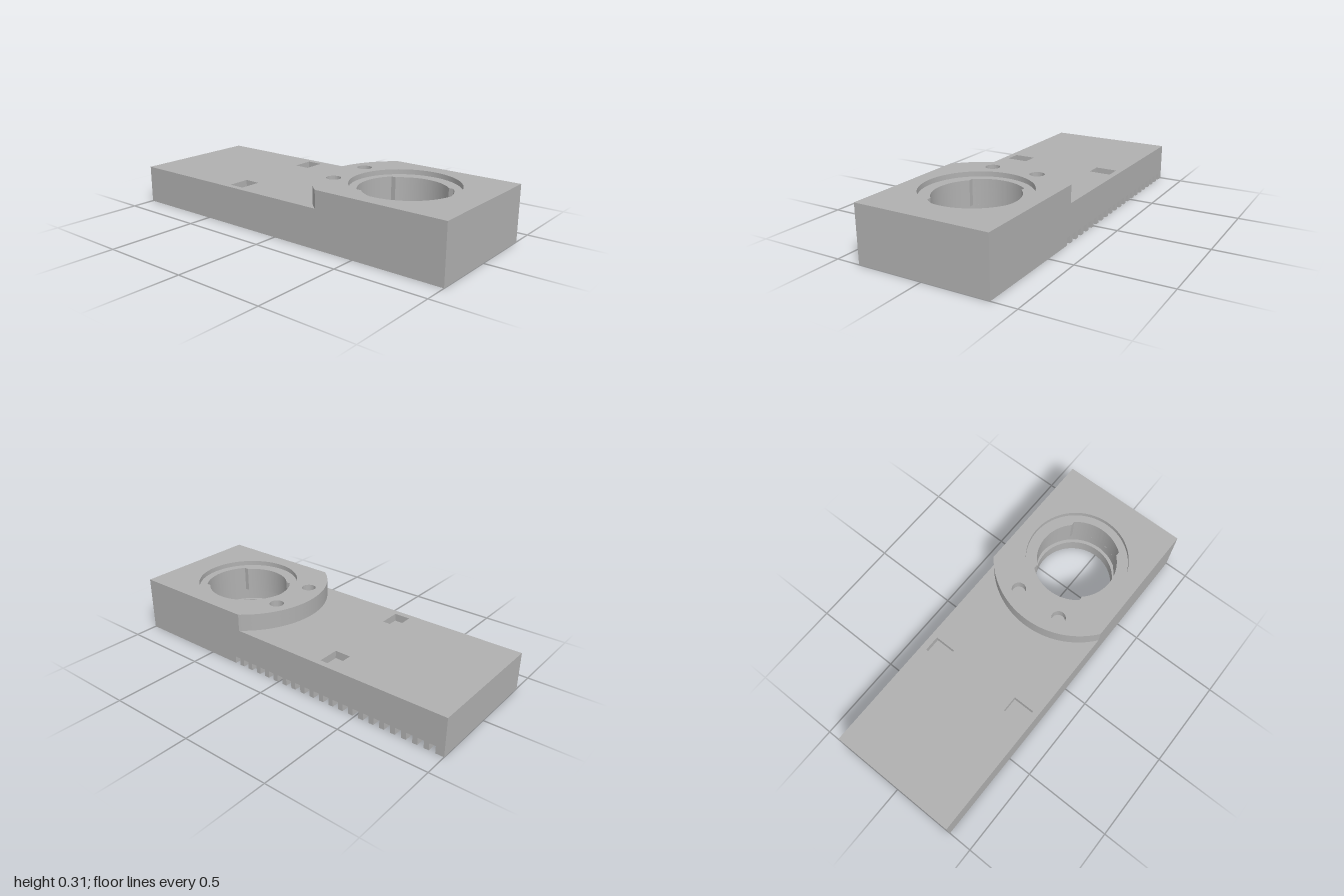
import * as THREE from 'three';
import { toCreasedNormals } from 'three/addons/utils/BufferGeometryUtils.js';

const W = 0.365, WALL = 0.063;          // half width, skirt thickness
const CEIL = 0.075, DECK = 0.212, TOP = 0.308;
const BZ = 0.555;                       // bore centre in z
const R_BORE = 0.222, R_SLOT = 0.241, R_RING = 0.284, R_PAD = 0.461;

export function createModel() {
  const model = new THREE.Group();
  model.name = 'slidePlate';
  const grey = new THREE.MeshStandardMaterial({ color: 0xb0b0b0 });
  grey.name = 'grey';

  const add = (name, geometry) => {
    const mesh = new THREE.Mesh(geometry, grey);
    mesh.name = name;
    model.add(mesh);
    return mesh;
  };
  const extrude = (shape, depth) => toCreasedNormals(
    new THREE.ExtrudeGeometry(shape, { depth, bevelEnabled: false, curveSegments: 40 }), 0.5);

  // Horizontal slab from a plan drawn in (x, z)
  const slab = (name, shape, y0, y1, holes = []) => {
    shape.holes.push(...holes);
    const g = extrude(shape, y1 - y0);
    g.rotateX(Math.PI / 2);
    g.translate(0, y1, 0);
    return add(name, g);
  };

  const rect = (P, x0, x1, z0, z1) => new P()
    .moveTo(x0, z0).lineTo(x1, z0).lineTo(x1, z1).lineTo(x0, z1).closePath();
  const circle = (P, x, z, r) => new P().absarc(x, z, r, 0, Math.PI * 2, false);
  const plate = () => rect(THREE.Shape, -W, W, -1, 1);

  // Bore with two wider bayonet slots, front and back
  const keyedBore = () => {
    const p = new THREE.Path();
    const a = Math.acos(0.155 / R_BORE), b = Math.acos(0.155 / R_SLOT);
    for (const t of [0, Math.PI]) {
      p.absarc(0, BZ, R_BORE, t - a, t + a, false);
      p.absarc(0, BZ, R_SLOT, t + b, t + Math.PI - b, false);
    }
    p.closePath();
    return p;
  };

  // Raised pad with a rounded rear edge
  const pad = () => {
    const s = new THREE.Shape();
    const a = Math.acos(W / R_PAD);
    s.moveTo(-W, 1);
    s.lineTo(W, 1);
    s.absarc(0, BZ, R_PAD, -a, -Math.PI + a, true);
    s.closePath();
    return s;
  };

  const pockets = () => [-1, 1].map(s =>
    rect(THREE.Path, s * 0.27 - 0.061, s * 0.27 + 0.061, -0.35, -0.26));
  const pinHoles = () => [-1, 1].map(s => circle(THREE.Path, s * 0.135, 0.208, 0.039));

  // Deck layers: lock groove, keyed lip, pocket layer
  slab('deckBottom', plate(), CEIL, 0.14, [circle(THREE.Path, 0, BZ, R_SLOT)]);
  slab('deckMiddle', plate(), 0.14, 0.17, [keyedBore()]);
  slab('deckTop', plate(), 0.17, DECK, [keyedBore(), ...pockets()]);

  // Pad layers: solid, pin holes, shallow recess
  slab('padBottom', pad(), DECK, 0.255, [keyedBore()]);
  slab('padMiddle', pad(), 0.255, 0.281, [keyedBore(), ...pinHoles()]);
  slab('padTop', pad(), 0.281, TOP, [circle(THREE.Path, 0, BZ, R_RING), ...pinHoles()]);

  // Collar under the bore, its top forming the groove floor
  slab('boreCollar', circle(THREE.Shape, 0, BZ, R_RING), 0, CEIL,
    [circle(THREE.Path, 0, BZ, R_BORE)]);

  // Plain skirt walls
  slab('leftlessWall', rect(THREE.Shape, -W, -W + WALL, -1, 1), 0, CEIL).name = 'plainSideWall';
  slab('frontWall', rect(THREE.Shape, -W + WALL, W - WALL, 1 - WALL, 1), 0, CEIL);
  slab('backWall', rect(THREE.Shape, -W + WALL, W - WALL, -1, -1 + WALL), 0, CEIL);

  // Notched skirt wall, drawn in (z, y)
  const rack = new THREE.Shape();
  rack.moveTo(-1, 0);
  for (let i = 0; i < 21; i++) {
    const z = -0.937 + i * 0.0616, h = 0.017;
    rack.lineTo(z - h, 0);
    rack.lineTo(z - h, 0.04);
    rack.lineTo(z + h, 0.04);
    rack.lineTo(z + h, 0);
  }
  rack.lineTo(1, 0);
  rack.lineTo(1, CEIL);
  rack.lineTo(-1, CEIL);
  rack.closePath();
  const rackGeometry = extrude(rack, WALL);
  rackGeometry.rotateY(-Math.PI / 2);
  rackGeometry.translate(W, 0, 0);
  add('notchedSideWall', rackGeometry);

  return model;
}
